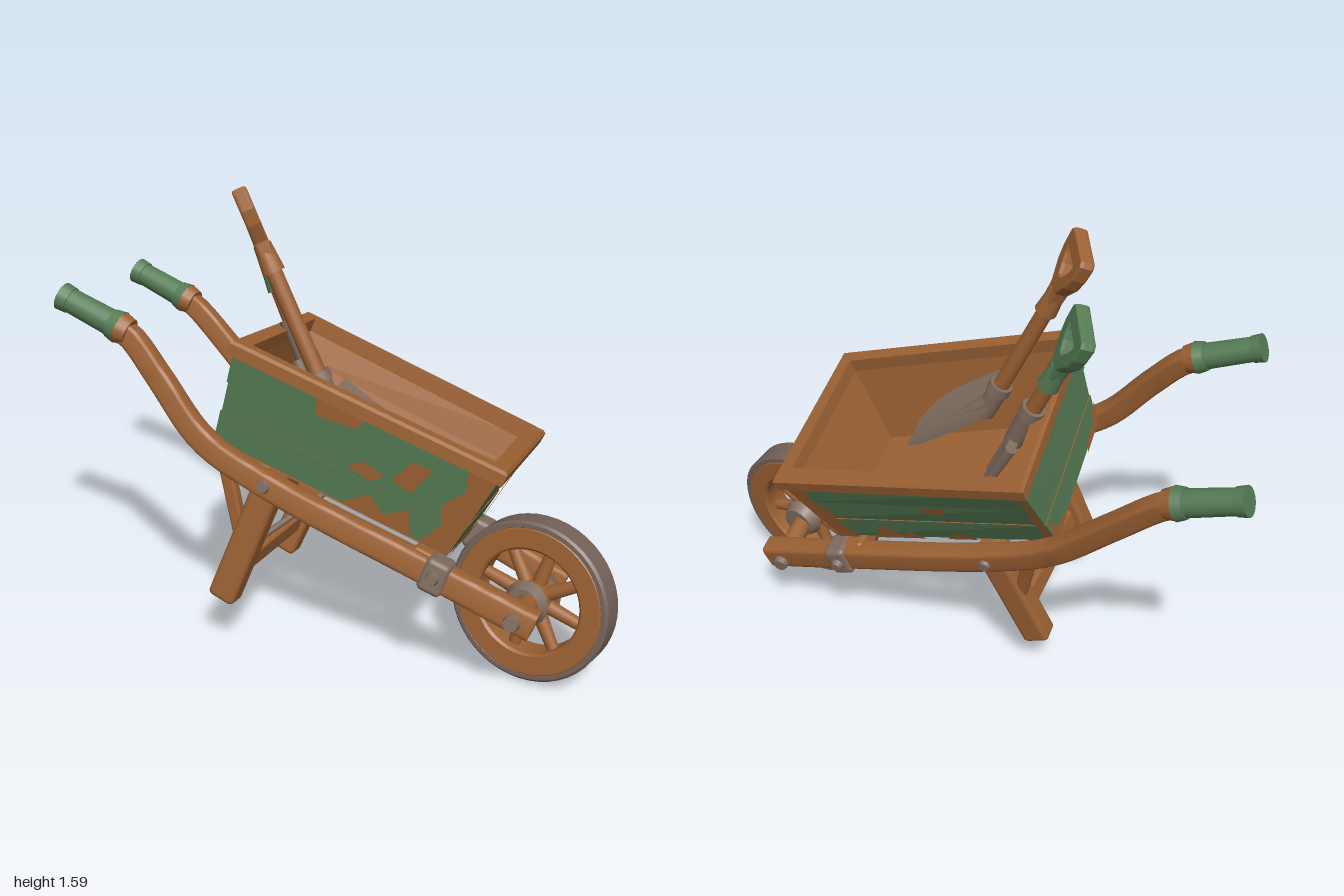
import * as THREE from 'three';
import { toCreasedNormals } from 'three/addons/utils/BufferGeometryUtils.js';
import { RoundedBoxGeometry } from 'three/addons/geometries/RoundedBoxGeometry.js';

const mat = (name, color, side = THREE.FrontSide) => new THREE.MeshStandardMaterial({ name, color, side });
const V = (x, y, z) => new THREE.Vector3(x, y, z);

export function createModel() {
  const wood = mat('wood', 0x9d6234);
  const paint = mat('green paint', 0x557b54);
  const metal = mat('metal', 0x7f6c5f, THREE.DoubleSide);
  const tyreMat = mat('tyre', 0x75625a);

  const root = new THREE.Group();
  root.name = 'wheelbarrow';
  // The barrow stands turned and tipped: x = its left, y = up from its rim, z = towards the wheel
  const barrow = new THREE.Group();
  barrow.name = 'barrow';
  barrow.applyMatrix4(new THREE.Matrix4().makeBasis(
    V(0.775, -0.235, -0.588), V(0.354, 0.929, 0.096), V(0.524, -0.282, 0.803)));
  barrow.position.set(0.21, 0.9175, 0.215);
  root.add(barrow);

  const add = (name, geo, material, parent = barrow) => {
    const m = new THREE.Mesh(geo, material);
    m.name = name;
    parent.add(m);
    return m;
  };
  // Point an object's y axis from a to b, keeping its x axis sideways
  const aim = (obj, a, b, at) => {
    const y = b.clone().sub(a).normalize();
    const ref = Math.abs(y.x) > 0.8 ? V(0, 0, 1) : V(1, 0, 0);
    const z = ref.cross(y).normalize();
    obj.quaternion.setFromRotationMatrix(new THREE.Matrix4().makeBasis(y.clone().cross(z), y, z));
    obj.position.copy(at ?? a.clone().lerp(b, 0.5));
    return obj;
  };
  const bar = (name, a, b, w, d, material = wood, parent = barrow) =>
    aim(add(name, new RoundedBoxGeometry(w, a.distanceTo(b), d, 3, Math.min(w, d) * 0.22), material, parent), a, b);
  const rod = (name, a, b, r, rEnd = r, material = wood, parent = barrow) =>
    aim(add(name, new THREE.CylinderGeometry(rEnd, r, a.distanceTo(b), 16), material, parent), a, b);

  // Six-sided block from a bottom and a top quad; its first side is material 1
  function prism(b, t) {
    const pos = [];
    const quad = (...q) => [0, 1, 2, 0, 2, 3].forEach(k => pos.push(...q[k].toArray()));
    for (let i = 0; i < 4; i++) { const j = (i + 1) % 4; quad(b[i], b[j], t[j], t[i]); }
    quad(...t);
    quad(b[3], b[2], b[1], b[0]);
    const g = new THREE.BufferGeometry();
    g.setAttribute('position', new THREE.Float32BufferAttribute(pos, 3));
    g.addGroup(0, 6, 1);
    g.addGroup(6, 30, 0);
    g.computeVertexNormals();
    return g;
  }

  // Tray: corners run front left, rear left, rear right, front right
  const rim = [V(0.332, 0, 0.485), V(0.417, 0, -0.523), V(-0.387, 0, -0.475), V(-0.362, 0, 0.513)];
  const base = [V(0.25, -0.36, 0.41), V(0.29, -0.36, -0.47), V(-0.29, -0.36, -0.44), V(-0.265, -0.36, 0.43)];
  const inset = (p, d, y = p.y) => V(p.x - Math.sign(p.x) * d, y, p.z - Math.sign(p.z) * d);
  const top = rim.map(p => inset(p, 0.02, -0.04));
  const sideNames = ['left', 'rear', 'right', 'front'];
  for (let i = 0; i < 4; i++) {
    const j = (i + 1) % 4;
    for (let k = 0; k < 3; k++) {
      const out = k === 1 ? 0.004 : 0;
      const at = (c, v, d) => inset(base[c].clone().lerp(top[c], v), d);
      const ring = v => [at(i, v, out), at(j, v, out), at(j, v, 0.035), at(i, v, 0.035)];
      add(sideNames[i] + 'Board', prism(ring(k / 3), ring((k + 1) / 3)), [wood, paint]);
    }
    const lip = (y, d) => [inset(rim[i], d, y), inset(rim[j], d, y), inset(rim[j], 0.06, y), inset(rim[i], 0.06, y)];
    add(sideNames[i] + 'Rim', prism(lip(-0.05, 0.004), lip(-0.01, 0)), wood);
    add(sideNames[i] + 'RimTop', prism(lip(-0.01, 0), lip(0, 0.01)), wood);
  }
  add('floor', prism(base.map(p => inset(p, 0.01, -0.37)), base.map(p => inset(p, 0.01, -0.335))), wood);

  // Bare wood where the paint has worn off, as u,v outlines on a tray side
  function worn(i, pts) {
    const j = (i + 1) % 4;
    const n = top[j].clone().sub(base[i]).cross(top[i].clone().sub(base[j])).normalize();
    const g = new THREE.ShapeGeometry(new THREE.Shape(pts.map(p => new THREE.Vector2(...p))));
    const pos = g.attributes.position;
    for (let k = 0; k < pos.count; k++) {
      const u = pos.getX(k), v = pos.getY(k);
      const p = base[i].clone().lerp(base[j], u).lerp(top[i].clone().lerp(top[j], u), v).addScaledVector(n, 0.006);
      pos.setXYZ(k, p.x, p.y, p.z);
    }
    g.computeVertexNormals();
    add('wornPaint', g, wood);
  }
  const startEdge = [[0, 0], [0.1, 0], [0.07, 0.3], [0.1, 0.5], [0.06, 0.75], [0.09, 1], [0, 1]];
  const endEdge = startEdge.map(([u, v]) => [1 - u, v]);
  worn(0, startEdge);
  worn(0, endEdge.map(([u, v]) => [0.6 + u * 0.4, v]));
  worn(0, [[0.18, 0], [0.42, 0], [0.37, 0.16], [0.33, 0.06], [0.26, 0.26]]);
  worn(0, [[0.52, 0], [0.66, 0], [0.62, 0.12], [0.56, 0.1]]);
  worn(0, [[0.5, 0.55], [0.6, 0.52], [0.64, 0.64], [0.54, 0.66]]);
  worn(1, [[0, 0], [0.22, 0], [0.16, 0.1], [0.07, 0.12], [0.03, 0.3], [0, 0.3]]);
  worn(1, [[0.72, 0], [1, 0], [1, 0.25], [0.94, 0.22], [0.9, 0.09], [0.8, 0.12]]);
  worn(1, [[0.88, 0.84], [1, 0.8], [1, 1], [0.9, 1]]);
  worn(2, endEdge.map(([u, v]) => [1 - (1 - u) * 1.15, v]));
  worn(2, [[0.55, 0], [0.85, 0], [0.79, 0.28], [0.72, 0.1], [0.64, 0.24]]);
  worn(2, [[0.35, 0.78], [0.5, 0.84], [0.52, 1], [0.33, 1]]);
  worn(2, [[0.52, 0.42], [0.62, 0.38], [0.66, 0.5], [0.57, 0.55]]);
  worn(2, [[0.69, 0.5], [0.77, 0.46], [0.8, 0.8], [0.72, 0.78]]);
  worn(3, startEdge.map(([u, v]) => [u * 1.2, v]));
  worn(3, endEdge);
  worn(3, [[0.1, 0], [0.9, 0], [0.7, 0.06], [0.5, 0.04], [0.3, 0.09]]);

  // Rounded beam swept along a path
  function beam(points, w, h) {
    const N = 40, M = 16, pos = [], idx = [];
    const curve = new THREE.CatmullRomCurve3(points);
    const soft = c => Math.sign(c) * Math.abs(c) ** 0.3;
    for (let i = 0; i <= N; i++) {
      const p = curve.getPointAt(i / N), side = V(1, 0, 0);
      const up = side.clone().cross(curve.getTangentAt(i / N)).normalize();
      const s = 1 - 0.2 * i / N;
      for (let j = 0; j < M; j++) {
        const a = (j + 0.5) / M * Math.PI * 2;
        pos.push(...p.clone().addScaledVector(side, soft(Math.cos(a)) * w * s / 2)
          .addScaledVector(up, soft(Math.sin(a)) * h * s / 2).toArray());
        if (i < N) {
          const q = i * M + j, r = i * M + (j + 1) % M;
          idx.push(q, q + M, r + M, q, r + M, r);
        }
      }
    }
    for (let j = 1; j < M - 1; j++) idx.push(0, j, j + 1, N * M, N * M + j + 1, N * M + j);
    const g = new THREE.BufferGeometry();
    g.setAttribute('position', new THREE.Float32BufferAttribute(pos, 3));
    g.setIndex(idx);
    return toCreasedNormals(g, 0.7);
  }

  // Side beams with grips, clamps, bolts, legs and braces
  for (const s of [1, -1]) {
    const dz = s > 0 ? 0 : 0.1;
    const P = (x, y, z) => V(s * x, y, z);
    add('sideBeam', beam([P(0.25, -0.445, 0.77), P(0.28, -0.43, 0.42), P(0.317, -0.41, -0.2),
      P(0.335, -0.365, -0.46), P(0.345, -0.24, -0.73 + dz * 0.6), P(0.345, -0.155, -0.92 + dz),
      P(0.348, -0.14, -1.0 + dz)], 0.08, 0.096), wood);
    const g0 = P(0.346, -0.142, -0.97 + dz), g1 = P(0.356, -0.13, -1.2 + dz);
    rod('woodCollar', g0.clone().lerp(g1, -0.17), g0, 0.047, 0.055);
    rod('gripCollar', g0, g0.clone().lerp(g1, 0.15), 0.057, 0.05, paint);
    rod('grip', g0, g1, 0.046, 0.042, paint);
    rod('gripEnd', g0.clone().lerp(g1, 0.86), g1.clone().lerp(g0, -0.02), 0.046, 0.049, paint);
    bar('clamp', P(0.28, -0.488, 0.425), P(0.28, -0.372, 0.425), 0.1, 0.085, metal);
    rod('clampBolt', P(0.32, -0.43, 0.425), P(0.35, -0.43, 0.425), 0.026, 0.018, metal);
    rod('beamBolt', P(0.34, -0.41, -0.2), P(0.367, -0.41, -0.2), 0.027, 0.018, metal);
    rod('axleBolt', P(0.28, -0.453, 0.705), P(0.318, -0.453, 0.705), 0.032, 0.024, metal);

    const foot = s > 0 ? V(0.297, -0.84, -0.23) : V(-0.225, -0.885, -0.225);
    const hip = P(0.28, -0.39, -0.2);
    bar('leg', foot, hip, 0.085, 0.1);
    bar('legBrace', foot.clone().lerp(hip, 0.42), P(0.31, -0.4, -0.37), 0.045, 0.045);
  }
  bar('legRail', V(-0.235, -0.76, -0.215), V(0.285, -0.7, -0.215), 0.045, 0.075);
  rod('stayRod', V(-0.24, -0.68, -0.21), V(-0.14, -0.37, -0.03), 0.011, 0.011, metal);
  for (const z of [0.36, -0.2]) bar('underBeam', V(-0.29, -0.41, z), V(0.29, -0.41, z), 0.08, 0.07);

  // Wheel, turning about x; steered a little to the right and standing more upright than the tray
  const wheel = new THREE.Group();
  wheel.name = 'wheel';
  wheel.position.set(0.012, -0.458, 0.71);
  wheel.rotation.set(0, -0.16, 0.13);
  barrow.add(wheel);
  const ring = (name, r0, r1, h, material) => {
    const e = 0.008;
    const pts = [[r0, -h + e], [r0 + e, -h], [r1 - e, -h], [r1, -h + e], [r1, h - e], [r1 - e, h],
      [r0 + e, h], [r0, h - e], [r0, -h + e]].map(p => new THREE.Vector2(...p));
    add(name, toCreasedNormals(new THREE.LatheGeometry(pts, 48), 0.6), material, wheel).rotation.z = Math.PI / 2;
  };
  ring('tyre', 0.25, 0.28, 0.052, tyreMat);
  ring('woodenRim', 0.182, 0.262, 0.054, wood);
  for (let k = 0; k < 8; k++) {
    const a = k / 8 * Math.PI * 2, d = V(0, Math.cos(a), Math.sin(a));
    rod('spoke', d.clone().multiplyScalar(0.04), d.clone().multiplyScalar(0.21), 0.026, 0.02, wood, wheel);
  }
  rod('hub', V(-0.07, 0, 0), V(0.07, 0, 0), 0.068, 0.068, wood, wheel);
  for (const s of [1, -1]) rod('hubCap', V(s * 0.055, 0, 0), V(s * 0.095, 0, 0), 0.078, 0.06, metal, wheel);
  rod('axle', V(-0.27, -0.453, 0.71), V(0.27, -0.453, 0.71), 0.036);

  // Hand tools: origin at the grip, shaft running down -y
  function tool(name, gripAt, toward, material, shaftEnd, socketEnd) {
    const g = new THREE.Group();
    g.name = name;
    barrow.add(aim(g, toward, gripAt, gripAt));
    const outline = pts => pts.map(p => new THREE.Vector2(...p));
    const d = new THREE.Shape(outline([[-0.08, 0.018], [-0.09, 0.006], [-0.086, -0.05], [-0.07, -0.1], [-0.03, -0.16],
      [-0.024, -0.21], [0.024, -0.21], [0.03, -0.16], [0.07, -0.1], [0.086, -0.05], [0.09, 0.006], [0.08, 0.018]]));
    d.holes.push(new THREE.Path(outline([[-0.058, -0.026], [0.058, -0.026], [0.052, -0.055], [0.035, -0.088],
      [0.012, -0.118], [-0.012, -0.118], [-0.035, -0.088], [-0.052, -0.055]])));
    const geo = new THREE.ExtrudeGeometry(d, { depth: 0.026, bevelSize: 0.007, bevelThickness: 0.012, bevelSegments: 3 });
    geo.translate(0, 0, -0.013);
    add('gripLoop', geo, material, g).rotation.y = 0.4;
    rod('gripNeck', V(0, -0.27, 0), V(0, -0.17, 0), 0.039, 0.03, material, g);
    rod('shaft', V(0, -shaftEnd - 0.03, 0), V(0, -0.25, 0), 0.029, 0.028, wood, g);
    rod('socket', V(0, -socketEnd, 0), V(0, -shaftEnd, 0), 0.034, 0.038, metal, g);
    rod('socketCollar', V(0, -shaftEnd - 0.035, 0), V(0, -shaftEnd, 0), 0.043, 0.041, metal, g);
    return g;
  }

  const shovel = tool('shovel', V(-0.234, 0.412, -0.668), V(-0.136, -0.104, -0.168), wood, 0.63, 0.78);
  // Dished blade with square shoulders and a rounded tip
  const blade = new THREE.PlaneGeometry(2, 1, 14, 16);
  const bp = blade.attributes.position;
  for (let k = 0; k < bp.count; k++) {
    const v = 0.5 - bp.getY(k);
    const tip = Math.max(0, (v - 0.5) / 0.5);
    const x = bp.getX(k) * 0.16 * Math.sqrt(1 - 0.8 * tip * tip);
    bp.setXYZ(k, x, -v * 0.355, x * x);
  }
  blade.computeVertexNormals();
  const bladeMesh = add('blade', blade, metal, shovel);
  bladeMesh.position.y = -0.72;
  bladeMesh.rotation.x = -0.54;
  rod('bladeRib', V(0, -0.88, 0.09), V(0, -0.72, 0), 0.01, 0.036, metal, shovel);

  const fork = tool('fork', V(0.036, 0.308, -0.72), V(0.08, -0.083, -0.348), paint, 0.38, 0.56);
  bar('forkHead', V(-0.09, -0.545, 0), V(0.09, -0.545, 0), 0.036, 0.036, metal, fork);
  for (const x of [-0.078, 0, 0.078]) rod('tine', V(x, -0.81, 0.01), V(x, -0.52, 0), 0.013, 0.02, metal, fork);

  return root;
}
